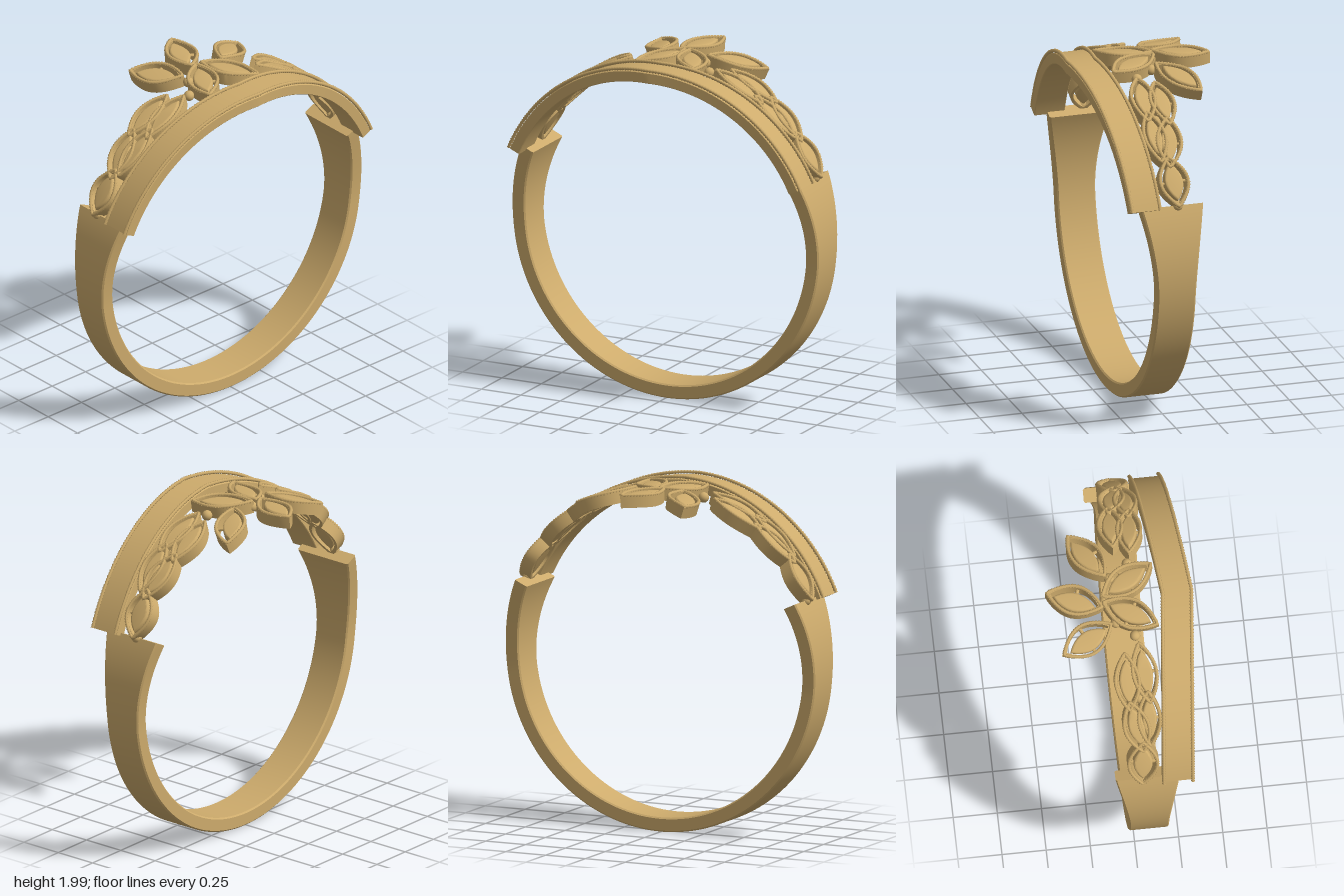
import * as THREE from 'three';
import { toCreasedNormals } from 'three/addons/utils/BufferGeometryUtils.js';

const CY = 0.975; // height of the ring's axis
const RAD = Math.PI / 180;
const gold = new THREE.MeshStandardMaterial({ color: 0xcdab6c });

// Point on the ring: phi is measured from the top towards +x
const polar = (phi, r, z) => new THREE.Vector3(r * Math.sin(phi), CY + r * Math.cos(phi), z);

function add(parent, geometry, name) {
  const mesh = new THREE.Mesh(geometry, gold);
  mesh.name = name;
  parent.add(mesh);
  return mesh;
}

// Chamfered rectangle in (r, z)
function section(r0, r1, z0, z1, c) {
  return [[r0 + c, z0], [r1 - c, z0], [r1, z0 + c], [r1, z1 - c],
    [r1 - c, z1], [r0 + c, z1], [r0, z1 - c], [r0, z0 + c]];
}

// Sweep a changing section around the ring's axis, with capped ends
function sweepArc(from, to, steps, sectionAt) {
  const pos = [], idx = [];
  let n = 0;
  for (let i = 0; i <= steps; i++) {
    const phi = from + (to - from) * i / steps;
    const pts = sectionAt(phi);
    n = pts.length;
    for (const [r, z] of pts) pos.push(...polar(phi, r, z).toArray());
  }
  for (let i = 0; i < steps; i++) {
    for (let j = 0; j < n; j++) {
      const a = i * n + j, b = i * n + (j + 1) % n;
      idx.push(a, b, b + n, a, b + n, a + n);
    }
  }
  const last = steps * n;
  for (let j = 1; j < n - 1; j++) {
    idx.push(0, j + 1, j, last, last + j, last + j + 1);
  }
  const geo = new THREE.BufferGeometry();
  geo.setAttribute('position', new THREE.Float32BufferAttribute(pos, 3));
  geo.setIndex(idx);
  return toCreasedNormals(geo, 0.5);
}

// Beaded wire: a tube whose rings alternate between thick and thin
function beadedWire(points, radius, beads, closed) {
  const curve = new THREE.CatmullRomCurve3(points, closed, 'centripetal');
  const n = beads * 2, sides = 6;
  const geo = new THREE.TubeGeometry(curve, n, radius, sides, closed);
  const p = geo.attributes.position, v = new THREE.Vector3();
  for (let i = 1; i <= n; i += 2) {
    const c = curve.getPointAt(i / n);
    for (let j = 0; j <= sides; j++) {
      const k = i * (sides + 1) + j;
      v.fromBufferAttribute(p, k).sub(c).multiplyScalar(0.65).add(c);
      p.setXYZ(k, v.x, v.y, v.z);
    }
  }
  return geo;
}

// Bend flat geometry (x along the arc, -y as z, z outward) round the ring
function wrap(geo, r0) {
  const p = geo.attributes.position;
  for (let i = 0; i < p.count; i++) {
    const q = polar(p.getX(i), r0 + p.getZ(i), -p.getY(i));
    p.setXYZ(i, q.x, q.y, q.z);
  }
  return toCreasedNormals(geo, 0.6);
}

// Almond outline between two points of the flat plan
function almond(a, b, half, steps = 14) {
  const along = b.clone().sub(a), side = new THREE.Vector2(-along.y, along.x).normalize();
  const pts = [];
  for (let i = 0; i < 2 * steps; i++) {
    const back = i >= steps;
    const t = back ? 2 - i / steps : i / steps;
    const w = half * Math.pow(Math.max(0, Math.sin(Math.PI * t)), 0.85) * (back ? 1 : -1);
    pts.push(a.clone().addScaledVector(along, t).addScaledVector(side, w));
  }
  return pts;
}

// Open leaf: framed almond, beaded rim, solid centre and a cross pin
function leaf(parent, phi0, z0, phi1, z1, half, shift, name) {
  const group = new THREE.Group();
  group.name = name;
  parent.add(group);
  const a = new THREE.Vector2(phi0 * RAD, -z0), b = new THREE.Vector2(phi1 * RAD, -z1);
  const dir = b.clone().sub(a), side = new THREE.Vector2(-dir.y, dir.x).normalize();
  const at = (t, s) => a.clone().addScaledVector(dir, t).addScaledVector(side, s);

  const outline = almond(a, b, half);
  const frame = new THREE.Shape(outline);
  frame.holes.push(new THREE.Path(almond(at(0.09, 0), at(0.91, 0), half - 0.018).reverse()));
  add(group, wrap(new THREE.ExtrudeGeometry(frame, { depth: 0.07, bevelEnabled: false }), 0.935), 'leafFrame');

  const mid = almond(at(0.04, 0), at(0.96, 0), half - 0.009);
  add(group, beadedWire(mid.map(q => polar(q.x, 1.005, -q.y)), 0.012, 44, true), 'leafBeading');

  const core = new THREE.Shape(almond(at(0.19, shift), at(0.81, shift), half * 0.6 - 0.012));
  add(group, wrap(new THREE.ExtrudeGeometry(core, {
    depth: 0.04, bevelSize: 0.012, bevelThickness: 0.012, bevelSegments: 3,
  }), 0.953), 'leafCentre');

  const pin = new THREE.CylinderGeometry(0.01, 0.01, half * 1.8, 8);
  pin.rotateZ(dir.angle());
  const c = at(0.5, 0);
  pin.translate(c.x, c.y, 0);
  add(group, wrap(pin, 0.975), 'leafPin');
}

export function createModel() {
  const ring = new THREE.Group();
  ring.name = 'ring';

  // Finger band, open at the top and flaring towards its ends
  add(ring, sweepArc(65 * RAD, 295 * RAD, 120, phi => {
    const y = CY + 0.97 * Math.cos(phi);
    const flare = 0.07 * Math.pow(THREE.MathUtils.clamp((y - 0.85) / 0.53, 0, 1), 1.7);
    return section(0.89, 0.972, -0.05 - flare, 0.175 + flare, 0.008);
  }), 'band');

  // Front strip, coming to a shallow point in the middle
  const END = 66 * RAD;
  const stripFront = phi => 0.41 - 0.09 * Math.abs(Math.sin(phi)) / 0.92;
  add(ring, sweepArc(-END, END, 80, phi => {
    const z = stripFront(phi);
    return section(0.937, 1.0, z - 0.18, z, 0.004);
  }), 'frontStrip');

  // Beaded borders of the strip
  for (const offset of [-0.008, -0.172]) {
    const pts = [];
    for (let i = 0; i <= 60; i++) {
      const phi = -END + 2 * END * i / 60;
      pts.push(polar(phi, 1.012, stripFront(phi) + offset));
    }
    add(ring, beadedWire(pts, 0.012, 130, false), 'stripBeading');
  }

  // Central spray of five leaves: base angle, base z, tip angle, tip z, half width
  const spray = [
    [-3, -0.1, 4, -0.42, 0.092, 0.01],
    [-8.5, -0.06, -17.5, -0.36, 0.095, 0.01],
    [7.5, -0.07, 25.5, -0.26, 0.09, 0.01],
    [-1, -0.11, -10.5, 0.2, 0.09, 0],
    [0.5, -0.11, 11, 0.2, 0.09, 0],
  ];
  for (const l of spray) leaf(ring, ...l, 'centreLeaf');

  // Side leaves running down both shoulders
  const shoulder = [
    [18, -0.01, 38, -0.01, 0.075, 0],
    [15, 0.075, 36, 0.11, 0.075, 0],
    [34, -0.01, 53, 0.05, 0.078, 0],
    [31, 0.1, 51, 0.09, 0.07, 0],
    [48.5, 0.05, 66, 0.03, 0.09, 0],
  ];
  for (const side of [1, -1]) {
    for (const [p0, z0, p1, z1, half, shift] of shoulder) {
      leaf(ring, side * p0, z0, side * p1, z1, half, shift, 'sideLeaf');
    }
  }

  // Small solder balls joining leaves to each other and to the band
  const joints = [[0, -0.09], [-8, -0.04], [8, -0.05], [13, 0.06], [-13, 0.06],
    [65, 0.03], [-65, 0.03], [49, 0.06], [-49, 0.06], [34, 0.05], [-34, 0.05]];
  for (const [deg, z] of joints) {
    add(ring, new THREE.SphereGeometry(0.03, 14, 10), 'joint').position.copy(polar(deg * RAD, 0.965, z));
  }
  return ring;
}
